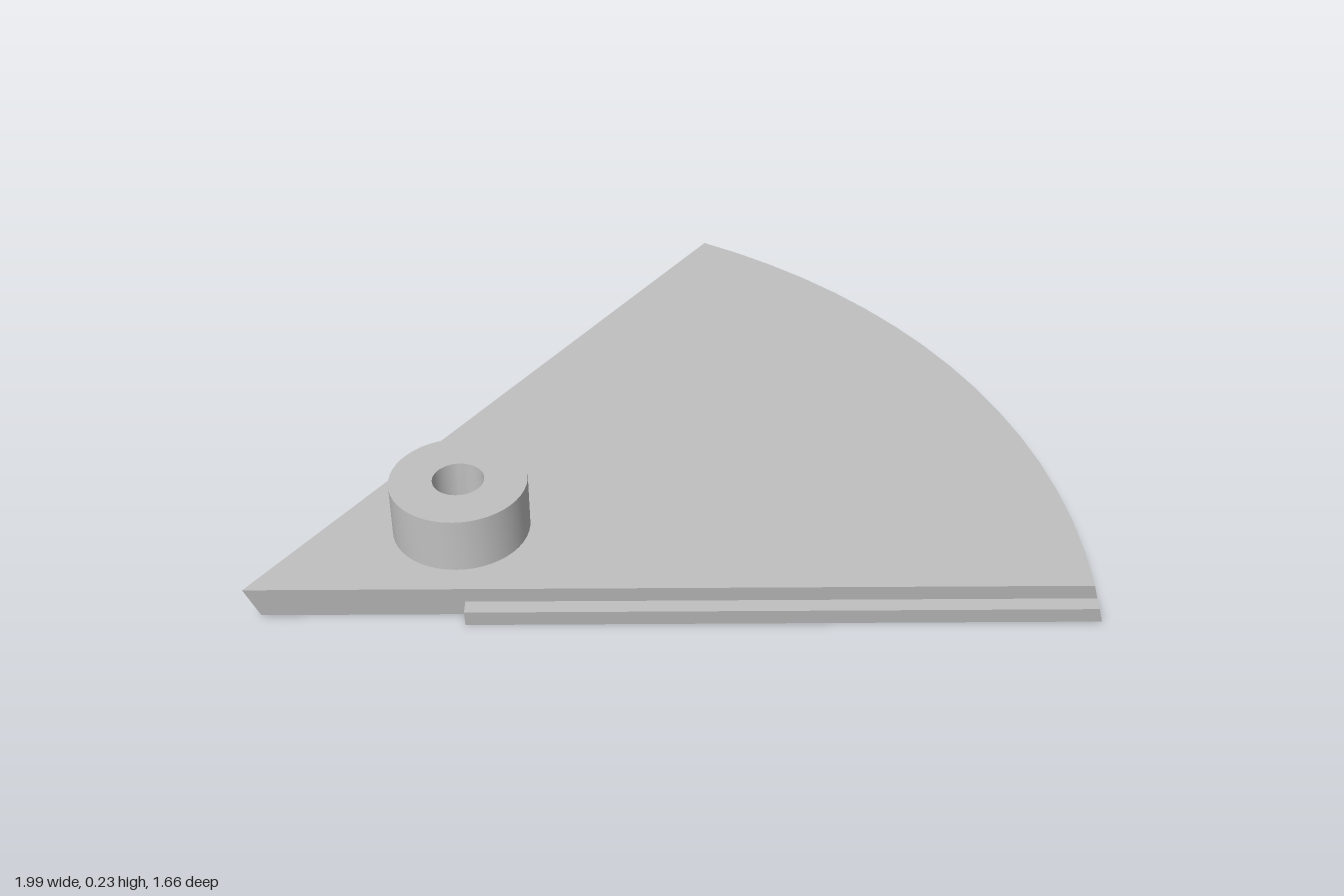
import * as THREE from 'three';
import { toCreasedNormals } from 'three/addons/utils/BufferGeometryUtils.js';

const HEIGHT = 0.09, LIP_HEIGHT = 0.045;
const ANGLE = THREE.MathUtils.degToRad(55.5);
const APEX = new THREE.Vector2(-1, 0.802);      // x, z of the top corner
const CENTRE = new THREE.Vector2(-0.8, 0.72);   // centre of the curved rim
const rimRadius = (y) => 1.793 - 0.025 * y / HEIGHT;
const wallOffset = (y) => -0.016 * (1 - y / HEIGHT);
const lipOffset = (y) => 0.03 - 0.008 * (1 - y / LIP_HEIGHT);

// The two straight edges in plan: direction and outward normal
const edges = {
  front: { dir: new THREE.Vector2(1, 0), out: new THREE.Vector2(0, 1) },
  back: {
    dir: new THREE.Vector2(Math.cos(ANGLE), -Math.sin(ANGLE)),
    out: new THREE.Vector2(-Math.sin(ANGLE), -Math.cos(ANGLE)),
  },
};

// Point a distance s along an edge, moved outward by offset
const along = (edge, s, offset) =>
  APEX.clone().addScaledVector(edge.dir, s).addScaledVector(edge.out, offset);

// Point where an offset edge meets the rim
function rimPoint(edge, offset, radius) {
  const p = along(edge, 0, offset);
  const q = p.clone().sub(CENTRE);
  const b = q.dot(edge.dir);
  return p.addScaledVector(edge.dir, -b + Math.sqrt(b * b - q.lengthSq() + radius * radius));
}

// Closed solid between a plan outline at y = 0 and one at y = height
function loft(outline, height) {
  const low = outline(0), high = outline(height);
  if (THREE.ShapeUtils.area(low) < 0) { low.reverse(); high.reverse(); }
  const pos = [];
  const bottom = (i) => pos.push(low[i].x, 0, low[i].y);
  const top = (i) => pos.push(high[i].x, height, high[i].y);
  for (const [a, b, c] of THREE.ShapeUtils.triangulateShape(low, [])) {
    bottom(a); bottom(b); bottom(c);
    top(a); top(c); top(b);
  }
  for (let i = 0; i < low.length; i++) {
    const j = (i + 1) % low.length;
    bottom(i); top(j); bottom(j);
    bottom(i); top(i); top(j);
  }
  const geometry = new THREE.BufferGeometry();
  geometry.setAttribute('position', new THREE.Float32BufferAttribute(pos, 3));
  return toCreasedNormals(geometry, 0.3);
}

// Wedge outline: corner, then the rim from the front edge to the back edge
function wedgeOutline(y) {
  const d = wallOffset(y), r = rimRadius(y), steps = 16;
  const points = [along(edges.front, -d / Math.tan(ANGLE / 2), d)];
  const a = rimPoint(edges.front, d, r).sub(CENTRE);
  const b = rimPoint(edges.back, d, r).sub(CENTRE);
  const start = Math.atan2(a.y, a.x), end = Math.atan2(b.y, b.x);
  for (let i = 0; i <= steps; i++) {
    const t = start + (end - start) * i / steps;
    points.push(new THREE.Vector2(CENTRE.x + r * Math.cos(t), CENTRE.y + r * Math.sin(t)));
  }
  return points;
}

// Ledge along the lower half of a straight edge
const lipOutline = (edge) => (y) => {
  const inner = wallOffset(y), outer = lipOffset(y), r = rimRadius(y);
  return [
    along(edge, 0.51, inner), along(edge, 0.51, outer),
    rimPoint(edge, outer, r), rimPoint(edge, inner, r),
  ];
};

export function createModel() {
  const group = new THREE.Group();
  group.name = 'wedgePlate';
  const grey = new THREE.MeshStandardMaterial({ color: 0xc0c0c0 });
  grey.name = 'grey';
  const add = (name, geometry) => {
    const mesh = new THREE.Mesh(geometry, grey);
    mesh.name = name;
    group.add(mesh);
    return mesh;
  };

  add('wedge', loft(wedgeOutline, HEIGHT));
  for (const [side, edge] of Object.entries(edges)) {
    add(side + 'Lip', loft(lipOutline(edge), LIP_HEIGHT));
  }

  // Round boss with a blind hole that ends at the plate
  const profile = [[0.165, 0.09], [0.165, 0.23], [0.062, 0.23], [0.062, 0.09]]
    .map(([r, y]) => new THREE.Vector2(r, y));
  const boss = add('boss', toCreasedNormals(new THREE.LatheGeometry(profile, 48), 0.6));
  boss.position.set(-0.515, 0, 0.568);

  return group;
}
